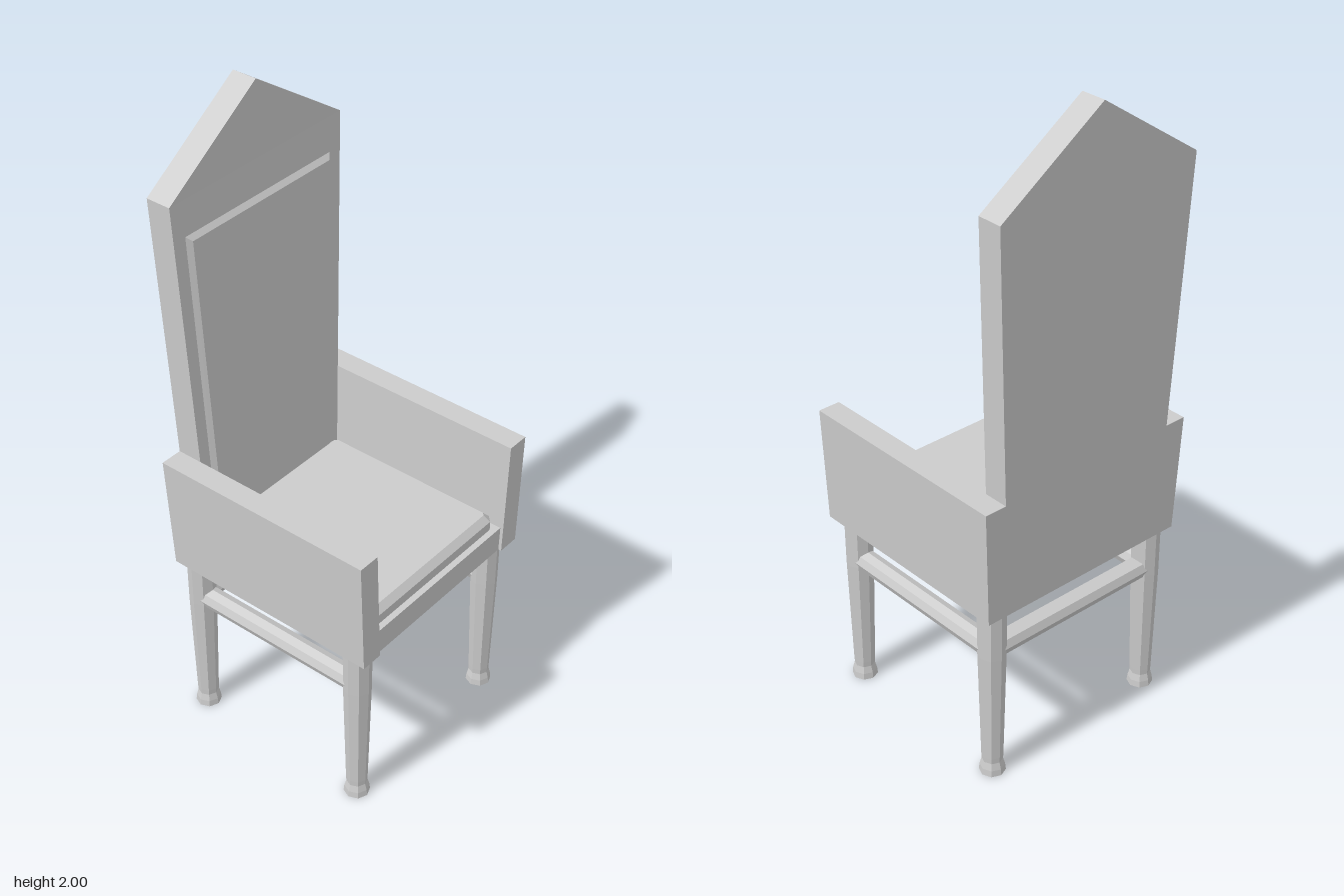
import * as THREE from 'three';

const material = new THREE.MeshStandardMaterial({ color: 0xcccccc, flatShading: true });

// Move every vertex of a geometry by a rule
function reshape(geometry, rule) {
  const p = geometry.attributes.position;
  const v = new THREE.Vector3();
  for (let i = 0; i < p.count; i++) {
    rule(v.fromBufferAttribute(p, i));
    p.setXYZ(i, v.x, v.y, v.z);
  }
  geometry.computeVertexNormals();
  return geometry;
}

const polygon = (points) => new THREE.Shape(points.map(([x, y]) => new THREE.Vector2(x, y)));

// Rectangular block given by its limits
function block(x0, x1, y0, y1, z0, z1) {
  return new THREE.BoxGeometry(x1 - x0, y1 - y0, z1 - z0)
    .translate((x0 + x1) / 2, (y0 + y1) / 2, (z0 + z1) / 2);
}

// Backward lean of the chair back, upright above the shoulders
const lean = (y) => -0.026 * (Math.min(y, 1.77) - 0.57);

export function createModel() {
  const group = new THREE.Group();
  const add = (name, geometry) => {
    const mesh = new THREE.Mesh(geometry, material);
    mesh.name = name;
    group.add(mesh);
    return mesh;
  };

  // Tall pointed back panel, split at the shoulders where the lean ends
  const lower = polygon([[-0.285, 0.57], [0.285, 0.57], [0.34, 1.77], [-0.34, 1.77]]);
  const upper = polygon([[-0.34, 1.77], [0.34, 1.77], [0, 2]]);
  [['backPanel', lower], ['backPeak', upper]].forEach(([name, shape]) => {
    const g = new THREE.ExtrudeGeometry(shape, { depth: 0.079, bevelEnabled: false });
    add(name, reshape(g.translate(0, 0, -0.337), (v) => { v.z += lean(v.y); }));
  });

  // Bevelled back cushion, wider at the top
  const backPad = new THREE.ExtrudeGeometry(
    polygon([[-0.237, 0.66], [0.237, 0.66], [0.276, 1.648], [-0.276, 1.648]]),
    { depth: 0.02, bevelThickness: 0.012, bevelSize: 0.015, bevelSegments: 1 });
  add('backCushion', reshape(backPad.translate(0, 0, -0.278), (v) => { v.z += lean(v.y); }));

  // Seat frame
  add('seatFrame', block(-0.29, 0.29, 0.57, 0.65, -0.33, 0.358));

  // Seat cushion with clipped corners and bevelled rim
  const x = 0.262, front = 0.32, rear = 0.242, c = 0.008;
  const seatPad = new THREE.ExtrudeGeometry(
    polygon([[-x + c, -front], [x - c, -front], [x, -front + c], [x, rear - c],
      [x - c, rear], [-x + c, rear], [-x, rear - c], [-x, -front + c]]),
    { depth: 0.04, bevelThickness: 0.02, bevelSize: 0.019, bevelSegments: 1 });
  add('seatCushion', seatPad.rotateX(-Math.PI / 2).translate(0, 0.64, 0));

  // Slab arms, leaning outwards
  for (const side of [-1, 1]) {
    const arm = block(-0.035, 0.035, 0.57, 0.94, -0.337, 0.368);
    add(side > 0 ? 'leftArm' : 'rightArm', reshape(arm, (v) => {
      v.x += side * (0.32 + 0.045 * (v.y - 0.57));
      if (v.z < 0) v.z += lean(v.y);
    }));
  }

  // Eight-sided tapered legs with flared feet
  const legProfile = [[0, 0], [0.039, 0], [0.037, 0.02], [0.031, 0.042], [0.032, 0.06],
    [0.041, 0.42], [0.042, 0.58]].map(([r, y]) => new THREE.Vector2(r, y));
  for (const side of [-1, 1]) {
    for (const z of [0.302, -0.288]) {
      const leg = add(z > 0 ? 'frontLeg' : 'backLeg', new THREE.LatheGeometry(legProfile, 8));
      leg.position.set(side * 0.301, 0, z);
    }
    // Side stretcher
    const rail = new THREE.CylinderGeometry(0.033, 0.033, 0.56, 8).rotateX(Math.PI / 2);
    add('sideStretcher', rail).position.set(side * 0.301, 0.438, 0.007);
  }

  // Rear stretcher
  const rearRail = new THREE.CylinderGeometry(0.033, 0.033, 0.58, 8).rotateZ(Math.PI / 2);
  add('backStretcher', rearRail).position.set(0, 0.438, -0.288);

  return group;
}
